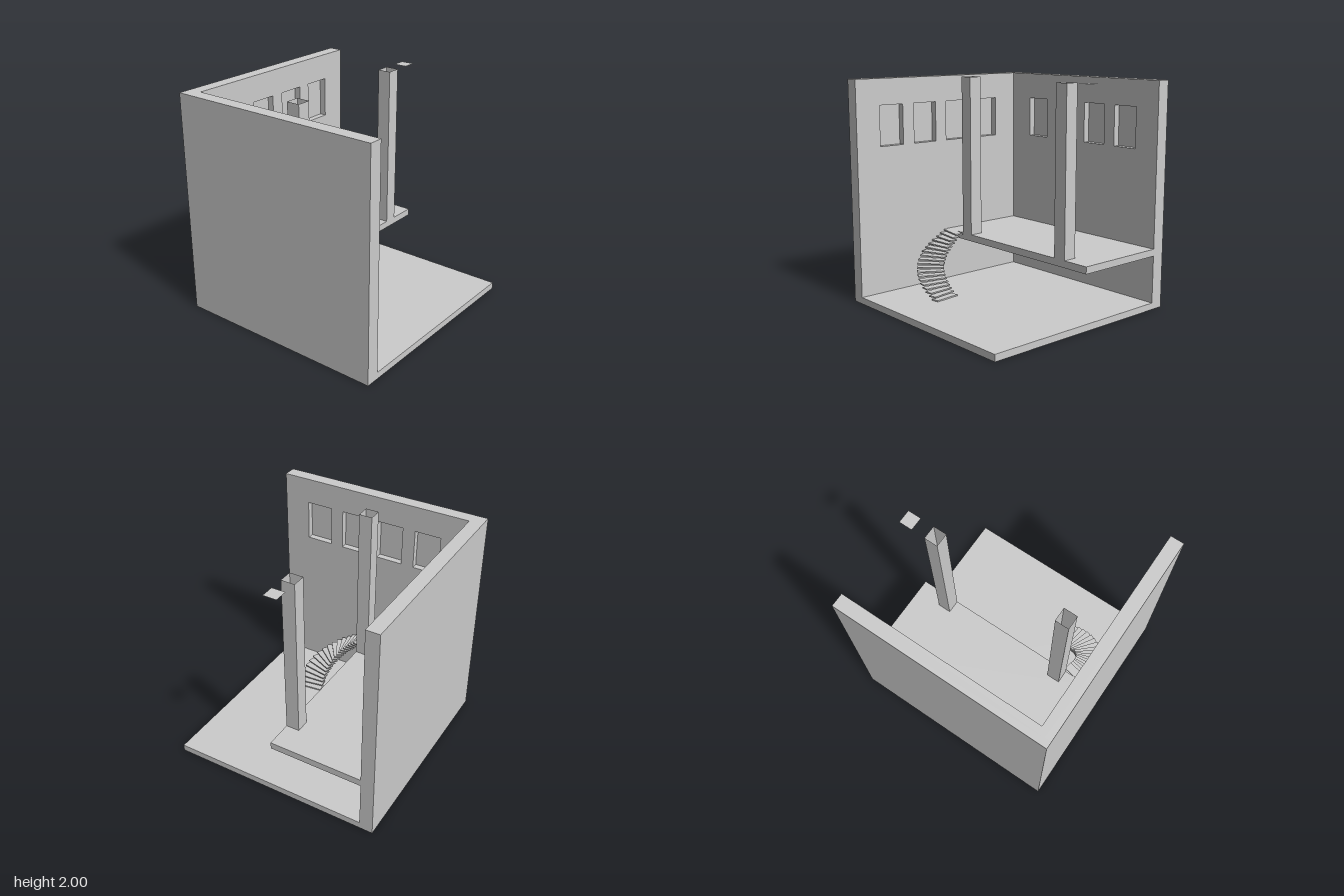
import * as THREE from 'three';

const S = 0.97, IN = -0.85, MID = -0.91, FLOOR = 0.06, DECK = 0.547, TOP = 2;

export function createModel() {
  const model = new THREE.Group();
  const mat = new THREE.MeshStandardMaterial({ color: 0xcccccc, flatShading: true });
  const thin = new THREE.MeshStandardMaterial({ color: 0xcccccc, flatShading: true, side: THREE.DoubleSide });

  const add = (name, geo, material = mat, parent = model) => {
    const mesh = new THREE.Mesh(geo, material);
    mesh.name = name;
    parent.add(mesh);
    return mesh;
  };

  // Box given by its limits; omit lists open sides (0 +x, 1 -x, 2 +y, 3 -y, 4 +z, 5 -z)
  const box = (x0, x1, y0, y1, z0, z1, omit = []) => {
    const geo = new THREE.BoxGeometry(x1 - x0, y1 - y0, z1 - z0);
    geo.translate((x0 + x1) / 2, (y0 + y1) / 2, (z0 + z1) / 2);
    if (omit.length) {
      geo.setIndex(Array.from(geo.index.array).filter((_, i) => !omit.includes(Math.floor(i / 6))));
    }
    return geo;
  };

  // Inner wall layer pierced by four windows, so they read as recesses
  const windowPanel = (u0, starts) => {
    const rect = (Type, a, b, c, d) => new Type([[a, c], [b, c], [b, d], [a, d]].map(p => new THREE.Vector2(...p)));
    const shape = rect(THREE.Shape, u0, S, FLOOR, TOP);
    for (const u of starts) shape.holes.push(rect(THREE.Path, u, u + 0.245, 1.4, 1.765));
    return new THREE.ExtrudeGeometry(shape, { depth: IN - MID, bevelEnabled: false });
  };

  add('floor', box(-S, S, 0, FLOOR, -S, S));

  // Back wall and side wall, each a solid outer layer plus a windowed inner layer
  add('backWallOuter', box(-S, S, FLOOR, TOP, -S, MID));
  add('backWallWindows', windowPanel(IN, [-0.61, -0.245, 0.12, 0.485])).position.z = MID;
  add('sideWallOuter', box(-S, MID, FLOOR, TOP, MID, S));
  const sidePanel = add('sideWallWindows', windowPanel(MID, [-0.61, -0.245, 0.12, 0.485]));
  sidePanel.rotation.y = -Math.PI / 2;
  sidePanel.position.x = IN;

  // Mezzanine: hollow slab whose underside has a square opening at the free corner
  const mezzanine = new THREE.Group();
  mezzanine.name = 'mezzanine';
  model.add(mezzanine);
  add('mezzanineDeck', box(IN, S, 0.485, DECK, IN, 0, [3]), thin, mezzanine);
  const underside = new THREE.Shape(
    [[IN, IN], [S, IN], [S, -0.122], [0.848, -0.122], [0.848, 0], [IN, 0]].map(p => new THREE.Vector2(...p)));
  const under = new THREE.ShapeGeometry(underside).rotateX(Math.PI / 2);
  add('mezzanineUnderside', under.translate(0, 0.485, 0), thin, mezzanine);

  // Hollow square pillars and the loose cap at the corner
  for (const x of [-0.61, 0.603]) {
    add('pillar', box(x, x + 0.122, DECK, TOP, -0.122, 0, [2, 3]), thin);
  }
  const cap = new THREE.PlaneGeometry(0.122, 0.122).rotateX(-Math.PI / 2);
  add('cornerCap', cap, thin).position.set(0.909, TOP, -0.061);

  // Curved stair: treads follow a path seen from above
  const stairs = new THREE.Group();
  stairs.name = 'stairs';
  model.add(stairs);
  const path = new THREE.CatmullRomCurve3([
    [-0.345, 0.427], [-0.44, 0.438], [-0.55, 0.416], [-0.644, 0.354],
    [-0.706, 0.26], [-0.727, 0.15], [-0.723, 0.08], [-0.715, 0.036],
  ].map(([x, z]) => new THREE.Vector3(x, 0, z)));
  const treadGeo = new THREE.BoxGeometry(0.245, 0.012, 0.075);
  const steps = 19;
  for (let i = 0; i < steps; i++) {
    const t = i / (steps - 1);
    const dir = path.getTangentAt(t);
    const tread = add('tread', treadGeo, mat, stairs);
    tread.position.copy(path.getPointAt(t));
    tread.position.y = 0.068 + t * (DECK - 0.074);
    tread.rotation.y = Math.atan2(dir.x, dir.z);
  }

  return model;
}
